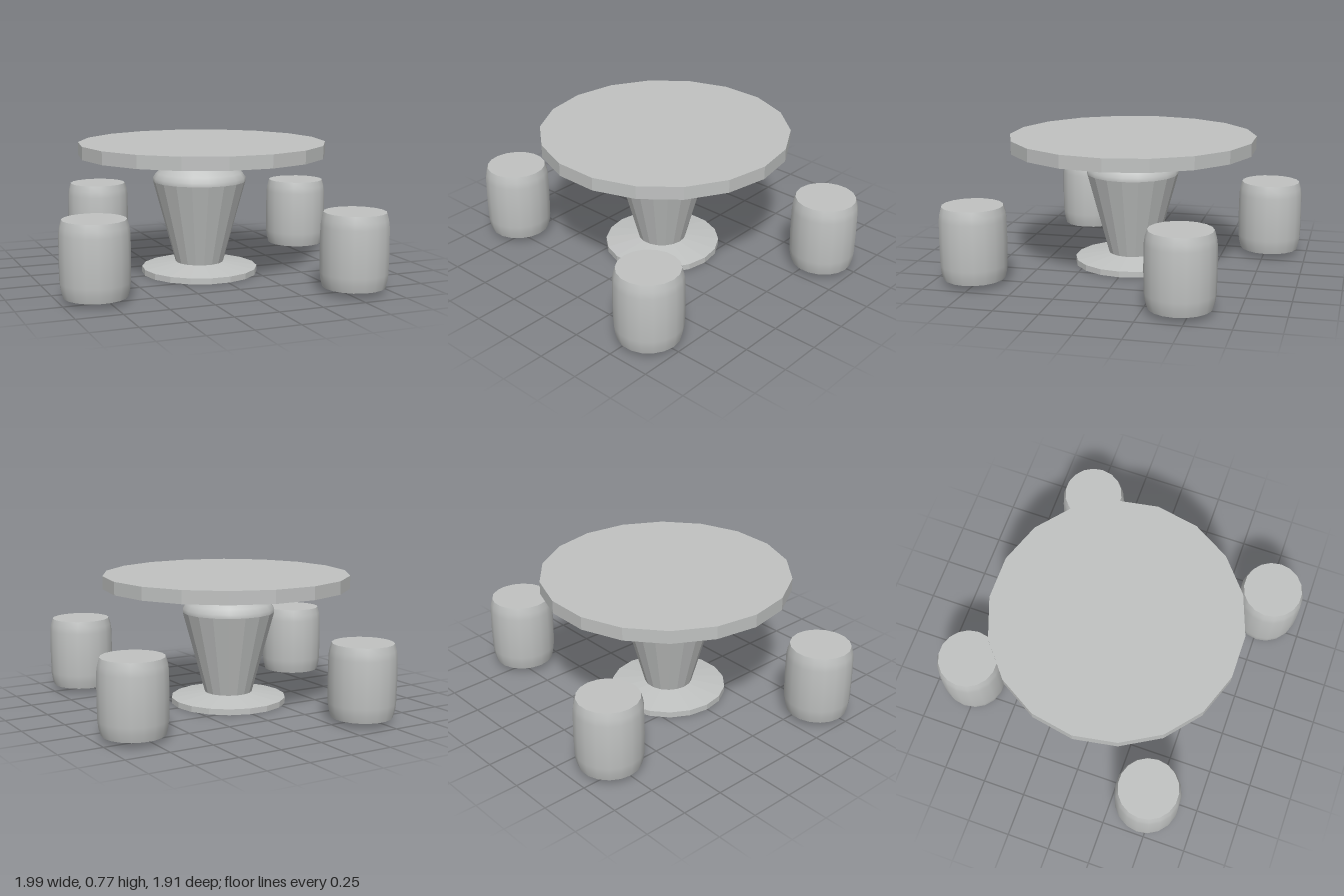
import * as THREE from 'three';
import { toCreasedNormals } from 'three/addons/utils/BufferGeometryUtils.js';

const SIDES = 18;

// Turned solid from [radius, height] pairs, bottom to top; crease angle 0.01 gives flat facets
function turned(name, profile, material, crease) {
  const points = profile.map(([r, y]) => new THREE.Vector2(r, y));
  const lathe = new THREE.LatheGeometry(points, SIDES, Math.PI / 2);
  const mesh = new THREE.Mesh(toCreasedNormals(lathe, crease), material);
  mesh.name = name;
  return mesh;
}

export function createModel() {
  const model = new THREE.Group();
  model.name = 'tableAndStools';
  const stone = new THREE.MeshStandardMaterial({ color: 0xc0c2c1 });
  stone.name = 'grey stone';
  const FLAT = 0.01, SMOOTH = 0.7;

  // Round table top
  const top = turned('tableTop', [[0, 0.692], [0.718, 0.692], [0.718, 0.767], [0, 0.767]], stone, FLAT);
  top.position.set(-0.027, 0, -0.007);
  model.add(top);

  // Pedestal: foot disc, tapered column, rounded shoulder and neck
  const pedestal = new THREE.Group();
  pedestal.name = 'pedestal';
  pedestal.position.set(-0.045, 0, -0.002);
  pedestal.add(
    turned('foot', [[0, 0], [0.338, 0], [0.338, 0.034], [0.14, 0.064]], stone, FLAT),
    turned('column', [[0.14, 0.064], [0.27, 0.54]], stone, FLAT),
    turned('shoulder', [[0.27, 0.54], [0.27, 0.562], [0.25, 0.59], [0.21, 0.63]], stone, SMOOTH),
    turned('neck', [[0.21, 0.63], [0.215, 0.643], [0.24, 0.668], [0.24, 0.692]], stone, SMOOTH),
  );
  model.add(pedestal);

  // Four drum stools
  const drum = [[0, 0.03], [0.172, 0.03], [0.183, 0.07], [0.188, 0.11], [0.19, 0.237],
    [0.188, 0.37], [0.183, 0.405], [0.172, 0.443], [0, 0.443]];
  const spots = [[-0.438, -0.774], [0.803, -0.45], [-0.812, 0.457], [0.559, 0.766]];
  spots.forEach(([x, z], i) => {
    const stool = turned('stool' + (i + 1), drum, stone, SMOOTH);
    stool.position.set(x, 0, z);
    model.add(stool);
  });
  return model;
}
